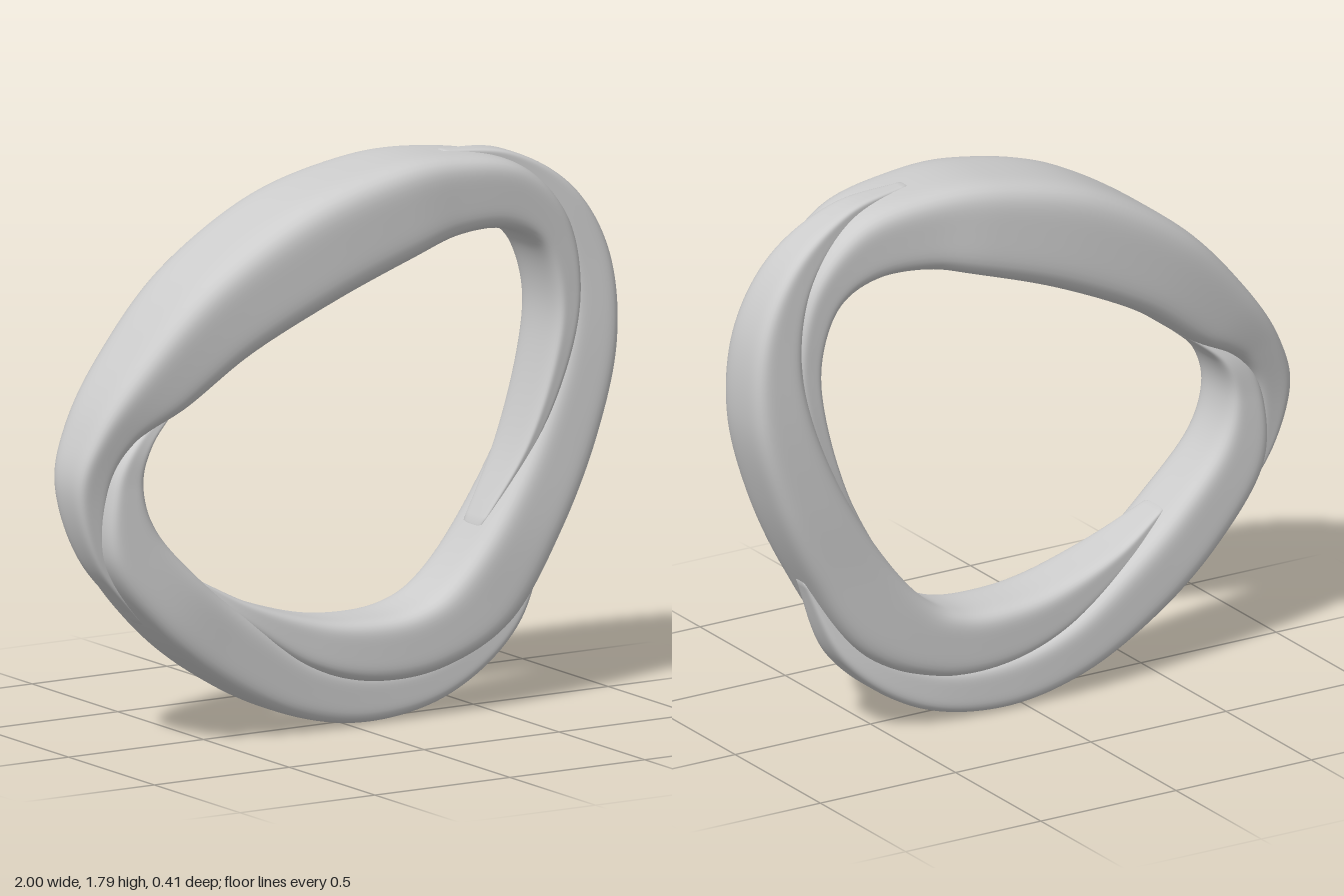
import * as THREE from 'three';

// Loop outline, clockwise seen from the front: outer x, outer y, inner x, inner y
const OUTLINE = [
  [0.10, 1.78, 0.19, 1.48], [0.36, 1.79, 0.37, 1.53], [0.62, 1.76, 0.55, 1.53],
  [0.84, 1.63, 0.68, 1.46], [0.97, 1.41, 0.74, 1.29], [0.99, 1.13, 0.72, 1.09],
  [0.91, 0.84, 0.63, 0.82], [0.77, 0.55, 0.48, 0.56], [0.64, 0.25, 0.34, 0.41],
  [0.39, 0.06, 0.22, 0.35], [0.08, 0.00, 0.07, 0.335], [-0.22, 0.055, -0.12, 0.355],
  [-0.50, 0.20, -0.36, 0.43], [-0.73, 0.38, -0.56, 0.53], [-0.92, 0.60, -0.72, 0.70],
  [-1.00, 0.84, -0.775, 0.85], [-0.95, 1.03, -0.74, 0.98], [-0.81, 1.24, -0.62, 1.09],
  [-0.57, 1.49, -0.40, 1.24], [-0.24, 1.69, -0.10, 1.38],
];

// Each band emerges on the outside of the one before and runs out on the inside of
// the next. "start" is its first outline station, "seam" the line where it meets the
// band before (as a fraction of the loop's width), "depth" its half depth by station.
const BANDS = [
  { name: 'topBand', start: 13, seam: [0.98, 0.88, 0.55, 0.36, 0.1],
    depth: [0.03, 0.06, 0.085, 0.115, 0.155, 0.19, 0.206, 0.19, 0.163, 0.143, 0.13, 0.122, 0.115, 0.095, 0.05] },
  { name: 'rightBand', start: 1, seam: [0.99, 0.88, 0.62, 0.42, 0.3, 0.18, 0.08],
    depth: [0.02, 0.055, 0.085, 0.105, 0.122, 0.132, 0.137, 0.137, 0.135, 0.13, 0.118, 0.095, 0.05] },
  { name: 'lowerLeftBand', start: 7, seam: [1, 0.82, 0.68, 0.6, 0.5, 0.28, 0.08],
    depth: [0.025, 0.075, 0.1, 0.113, 0.123, 0.13, 0.13, 0.12, 0.11, 0.1, 0.05] },
];
const RINGS = 160, SIDES = 64, POWER = 5, OVERLAP = 0.1;

// Rounded square of unit half extents: width, depth
const SECTION = Array.from({ length: SIDES }, (_, j) => {
  const a = (j / SIDES) * Math.PI * 2, c = Math.cos(a), s = Math.sin(a);
  const r = (Math.abs(c) ** POWER + Math.abs(s) ** POWER) ** (-1 / POWER);
  return [r * c, r * s];
});

// Point at fraction k of the loop's width at a station; z carries a depth value
function across(station, k, z) {
  const [ox, oy, ix, iy] = OUTLINE[station % OUTLINE.length];
  return new THREE.Vector3(ix + (ox - ix) * k, iy + (oy - iy) * k, z);
}

const curveThrough = (points) => new THREE.CatmullRomCurve3(points, false, 'catmullrom', 0.5);

function bandGeometry({ start, seam, depth }, next) {
  const runOut = depth.length - next.seam.length;
  // Inner edge, with a slight backward lean where the band emerges
  const inner = curveThrough(depth.map((_, i) =>
    across(start + i, Math.max(0, (seam[i] ?? 0) - OVERLAP), -0.02 * Math.sin(Math.PI * Math.min(1, i / 6)))));
  // Outer edge, following the next band's seam at the end
  const outer = curveThrough(depth.map((d, i) =>
    across(start + i, i < runOut ? 1 : next.seam[i - runOut], d)));

  const positions = [], indices = [];
  for (let i = 0; i <= RINGS; i++) {
    const p = inner.getPoint(i / RINGS), o = outer.getPoint(i / RINGS);
    // The end rings shrink to a point to close the band
    const size = i === 0 || i === RINGS ? 0 : 1;
    for (const [u, z] of SECTION) {
      const k = (u * size + 1) / 2;
      positions.push(p.x + (o.x - p.x) * k, p.y + (o.y - p.y) * k, p.z + z * size * o.z);
    }
  }
  for (let i = 0; i < RINGS; i++) {
    for (let j = 0; j < SIDES; j++) {
      const a = i * SIDES + j, b = i * SIDES + ((j + 1) % SIDES);
      indices.push(a, b, a + SIDES, b, b + SIDES, a + SIDES);
    }
  }
  const geometry = new THREE.BufferGeometry();
  geometry.setAttribute('position', new THREE.Float32BufferAttribute(positions, 3));
  geometry.setIndex(indices);
  geometry.computeVertexNormals();
  return geometry;
}

export function createModel() {
  const grey = new THREE.MeshStandardMaterial({ color: 0xcccccc });
  grey.name = 'grey';
  const model = new THREE.Group();
  model.name = 'overlappingLoop';
  BANDS.forEach((band, i) => {
    // Listed clockwise: top, right, lower left
    const mesh = new THREE.Mesh(bandGeometry(band, BANDS[(i + 1) % BANDS.length]), grey);
    mesh.name = band.name;
    model.add(mesh);
  });
  return model;
}
